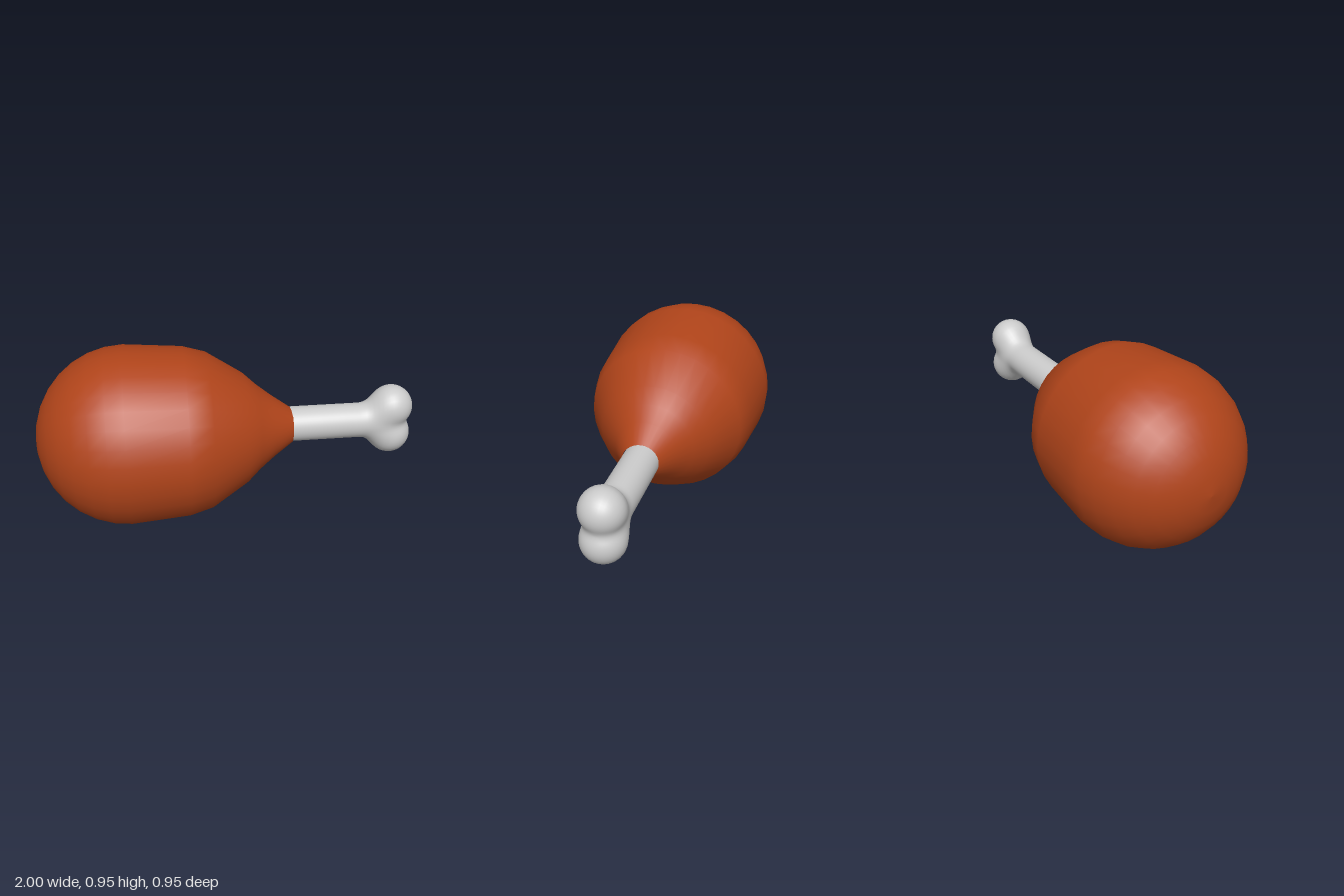
import * as THREE from 'three';

const CY = 0.475; // height of the long axis

// Roasted meat: a round end that tapers to the bone, turned around the x axis
function createMeat() {
  const profile = [];
  for (let i = 0; i <= 8; i++) {
    const a = (i / 8) * Math.PI / 2;
    profile.push(new THREE.Vector2(0.473 * Math.sin(a), -0.527 - 0.473 * Math.cos(a)));
  }
  for (const [x, r] of [[-0.22, 0.449], [-0.1, 0.415], [0.09, 0.295], [0.16, 0.23], [0.24, 0.167], [0.345, 0.094]]) {
    profile.push(new THREE.Vector2(r, x));
  }
  const meat = new THREE.Mesh(
    new THREE.LatheGeometry(profile, 32),
    new THREE.MeshStandardMaterial({ color: 0xb0441a })
  );
  meat.name = 'meat';
  meat.rotation.z = -Math.PI / 2;
  meat.position.y = CY;
  return meat;
}

// Signed distance to the bone: a shaft softly joined to two knobs
function smoothMin(a, b, k) {
  const h = Math.max(k - Math.abs(a - b), 0) / k;
  return Math.min(a, b) - h * h * k / 4;
}
function boneDistance(p) {
  const knob = (y) => Math.hypot(p.x - 0.886, p.y - y, p.z) - 0.113;
  const shaft = Math.hypot(Math.max(p.x - 0.8, 0), p.y, p.z) - 0.093;
  return smoothMin(smoothMin(knob(0.081), knob(-0.081), 0.04), shaft, 0.07);
}

// Bone: rings of rays cast out from the axis to the surface
function createBone() {
  const SIDES = 48, HEAD_X = 0.86;
  const rings = [];
  for (const x of [0.25, 0.345, 0.5, 0.62]) rings.push([x, 0]);
  for (let x = 0.66; x < HEAD_X; x += 0.02) rings.push([x, 0]);
  for (let i = 0; i <= 20; i++) rings.push([HEAD_X, (i / 20) * Math.PI / 2]);

  const positions = [], index = [];
  const p = new THREE.Vector3(), dir = new THREE.Vector3();
  rings.forEach(([x, tilt], r) => {
    for (let s = 0; s < SIDES; s++) {
      const a = (s / SIDES) * Math.PI * 2;
      dir.set(Math.sin(tilt), Math.cos(tilt) * Math.cos(a), Math.cos(tilt) * Math.sin(a));
      let near = 0, far = 0.3;
      for (let i = 0; i < 24; i++) {
        const mid = (near + far) / 2;
        p.set(x, 0, 0).addScaledVector(dir, mid);
        if (boneDistance(p) < 0) near = mid; else far = mid;
      }
      positions.push(p.x, p.y, p.z);
      if (r === 0) continue;
      const b = r * SIDES + s, bn = r * SIDES + (s + 1) % SIDES;
      index.push(b - SIDES, bn - SIDES, b);
      if (r < rings.length - 1) index.push(bn - SIDES, bn, b);
    }
  });
  const geometry = new THREE.BufferGeometry();
  geometry.setAttribute('position', new THREE.Float32BufferAttribute(positions, 3));
  geometry.setIndex(index);
  geometry.computeVertexNormals();

  // The tip's coincident points all face straight outwards
  const normal = geometry.attributes.normal;
  for (let i = normal.count - SIDES; i < normal.count; i++) normal.setXYZ(i, 1, 0, 0);

  const bone = new THREE.Mesh(geometry, new THREE.MeshStandardMaterial({ color: 0xcccccc }));
  bone.name = 'bone';
  bone.position.set(0, CY + 0.004, -0.004);
  return bone;
}

export function createModel() {
  const model = new THREE.Group();
  model.name = 'drumstick';
  model.add(createMeat(), createBone());
  return model;
}
